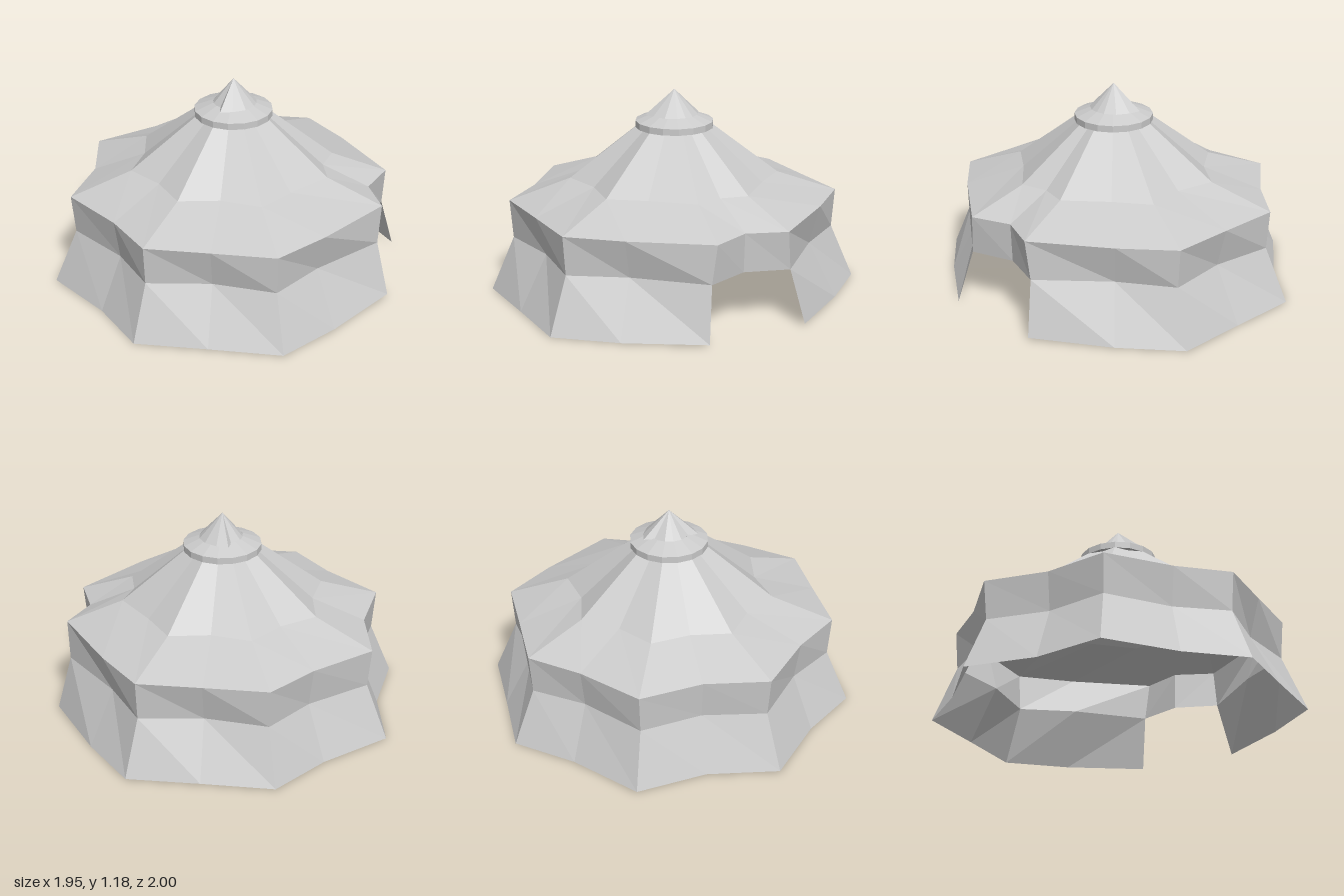
import * as THREE from 'three';

const CX = 0.024; // tent pole axis

const canvas = new THREE.MeshStandardMaterial({
  color: 0xcccccc, flatShading: true, side: THREE.DoubleSide,
});

// Full ring from a half outline [x, z] (door side +x round the front to -x), mirrored in z.
function ring(y, half) {
  const front = half.map(([x, z, dy = 0]) => new THREE.Vector3(x, y + dy, z));
  const back = front.slice(1, -1).reverse().map((p) => new THREE.Vector3(p.x, p.y, -p.z));
  return [...front, ...back];
}

// Shrinks a ring towards the pole axis at a new height.
function scaled(points, s, y) {
  return points.map((p) => new THREE.Vector3(CX + (p.x - CX) * s, y, p.z * s));
}

// Cloth band joining two rings, leaving out the panels listed in skip.
function band(name, lower, upper, skip = []) {
  const n = lower.length;
  const pos = [];
  for (let i = 0; i < n; i++) {
    if (skip.includes(i)) continue;
    const j = (i + 1) % n;
    for (const p of [lower[i], upper[i], upper[j], lower[i], upper[j], lower[j]]) {
      pos.push(p.x, p.y, p.z);
    }
  }
  const geo = new THREE.BufferGeometry();
  geo.setAttribute('position', new THREE.Float32BufferAttribute(pos, 3));
  geo.computeVertexNormals();
  const mesh = new THREE.Mesh(geo, canvas);
  mesh.name = name;
  return mesh;
}

export function createModel() {
  const group = new THREE.Group();
  group.name = 'tent';

  // Cross-sections, with the cloth sagging in between the corner poles
  const hem = ring(0, [
    [0.91, 0], [0.97, 0.305, 0.01], [0.695, 0.7], [0.44, 1], [CX, 0.997],
    [-0.39, 1], [-0.635, 0.7], [-0.975, 0.41], [-0.91, 0],
  ]);
  const valanceHem = ring(0.318, [
    [0.81, 0], [0.895, 0.25], [0.58, 0.585], [0.385, 0.875], [CX, 0.83],
    [-0.34, 0.875], [-0.535, 0.61], [-0.85, 0.36], [-0.785, 0],
  ]);
  const eave = ring(0.545, [
    [0.82, 0], [0.91, 0.225], [0.62, 0.63], [0.39, 0.892], [CX, 0.89],
    [-0.345, 0.892], [-0.56, 0.635], [-0.87, 0.37], [-0.81, 0],
  ]);
  const roofBend = ring(0.67, [
    [0.55, 0], [0.59, 0.16], [0.4, 0.372], [0.26, 0.563], [CX, 0.522],
    [-0.21, 0.563], [-0.35, 0.372], [-0.54, 0.232], [-0.505, 0],
  ]);
  const roofTop = scaled(roofBend, 0.37, 0.968);

  // Skirt is open at the doorway; the other bands run all the way round
  group.add(band('skirt', hem, valanceHem, [0, 15]));
  group.add(band('valance', valanceHem, eave));
  group.add(band('lowerRoof', eave, roofBend));
  group.add(band('upperRoof', roofBend, roofTop));

  // Round cap over the roof opening
  const capProfile = [[0.15, 0.965], [0.227, 0.965], [0.227, 1.003], [0.12, 1.045]]
    .map(([r, y]) => new THREE.Vector2(r, y));
  const cap = new THREE.Mesh(new THREE.LatheGeometry(capProfile, 16), canvas);
  cap.position.x = CX;
  cap.name = 'cap';
  group.add(cap);

  // Pointed top, its right part overlapping the left with a small step
  const finialBase = ring(1.04, [
    [0.157, 0], [0.15, 0.05], [0.11, 0.11], [0.04, 0.148], [-0.03, 0.16],
    [-0.038, 0.1], [-0.085, 0.05], [-0.094, 0],
  ]);
  group.add(band('finial', finialBase, scaled(finialBase, 0, 1.185)));

  return group;
}
